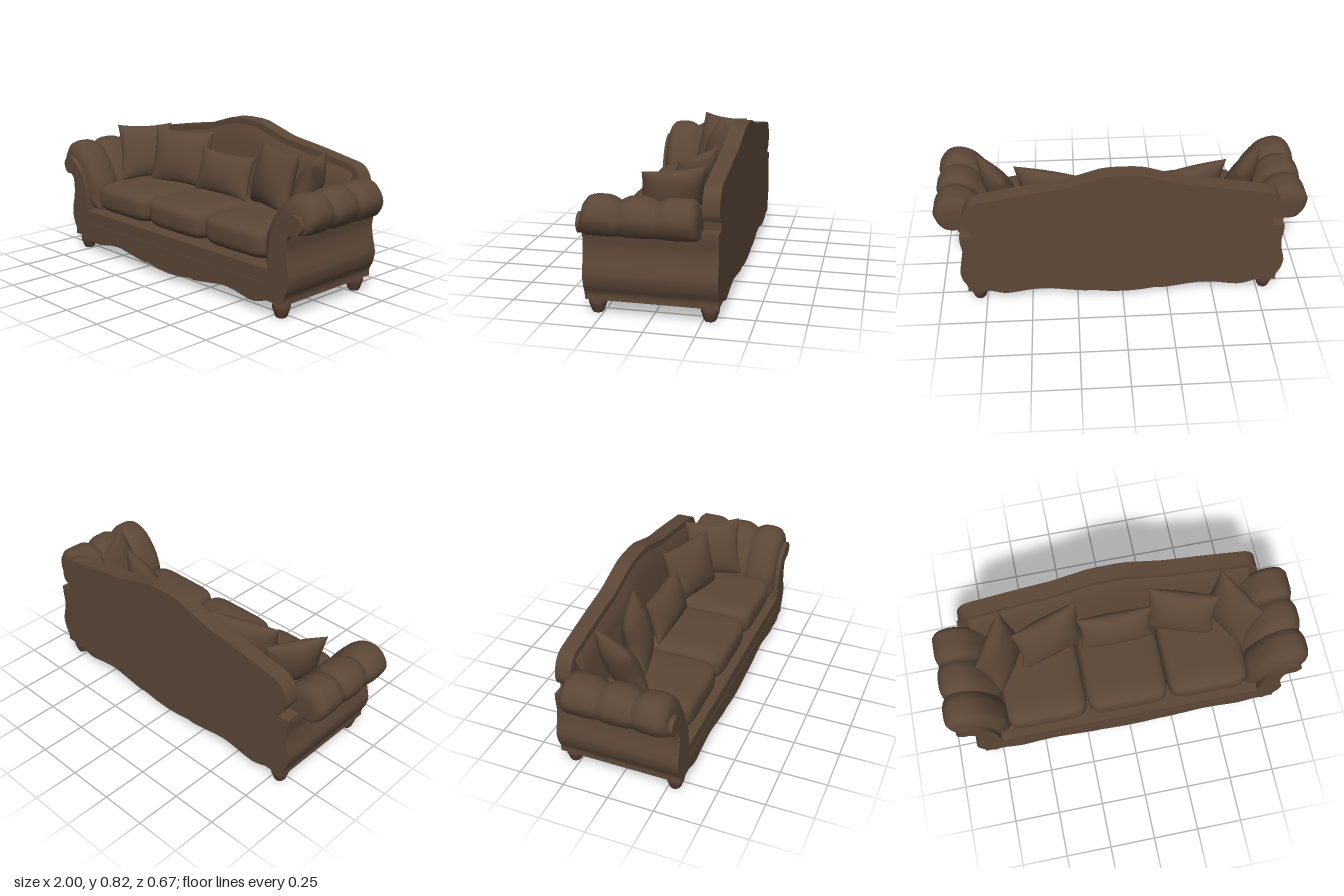
import * as THREE from 'three';
import { mergeVertices, mergeGeometries, toCreasedNormals } from 'three/addons/utils/BufferGeometryUtils.js';

const vec = (p) => p.map(([x, y]) => new THREE.Vector2(x, y));
const smooth = (p, n) => new THREE.SplineCurve(vec(p)).getPoints(n);

// Closed shape from a right-hand half outline, mirrored in x
function mirroredShape(half) {
  const left = half.map((p) => new THREE.Vector2(-p.x, p.y)).reverse();
  return new THREE.Shape([...half, ...left]);
}

function extrude(shape, z0, z1) {
  const g = new THREE.ExtrudeGeometry(shape, { depth: z1 - z0, bevelEnabled: false });
  g.translate(0, 0, z0);
  return toCreasedNormals(g, 0.6);
}

function weld(g) {
  g.deleteAttribute('uv');
  g.deleteAttribute('normal');
  const m = mergeVertices(g, 1e-5);
  m.computeVertexNormals();
  return m;
}

// Boxy, softly domed seat cushion
function cushionGeometry(a, b, c) {
  const g = new THREE.SphereGeometry(1, 48, 28);
  const p = g.attributes.position;
  const pow = (v, e) => Math.sign(v) * Math.pow(Math.abs(v), e);
  for (let i = 0; i < p.count; i++) {
    const x = p.getX(i), y = p.getY(i), z = p.getZ(i);
    const r = Math.hypot(x, z) || 1e-9;
    const k = Math.pow(r, 0.4);
    p.setXYZ(i, a * k * pow(x / r, 0.3), b * pow(y, 0.6), c * k * pow(z / r, 0.3));
  }
  return weld(g);
}

// Throw pillow with pointed corners: two bulged sheets
function pillowGeometry(w, h, t) {
  const sheets = [1, -1].map((side) => {
    const g = new THREE.PlaneGeometry(2, 2, 18, 18);
    if (side < 0) g.rotateY(Math.PI);
    const p = g.attributes.position;
    for (let i = 0; i < p.count; i++) {
      const u = Math.sin(p.getX(i) * Math.PI / 2), v = Math.sin(p.getY(i) * Math.PI / 2);
      const bulge = Math.sqrt(Math.max(0, (1 - u * u) * (1 - v * v)));
      p.setXYZ(i, u * w * (1 - 0.09 * (1 - v * v)), v * h * (1 - 0.09 * (1 - u * u)), side * t * bulge);
    }
    return g;
  });
  return weld(mergeGeometries(sheets));
}

// Rolled arm padding: a section swept along z, pinched into three bulges
function armPadGeometry() {
  const section = smooth([[0.78, 0.24], [0.8, 0.36], [0.84, 0.44], [0.9, 0.438], [0.965, 0.455], [1, 0.535],
    [0.96, 0.61], [0.89, 0.632], [0.81, 0.605], [0.745, 0.535], [0.7, 0.46], [0.67, 0.38], [0.67, 0.24]], 48);
  const rings = [[-0.25, 0], [-0.25, 0.6], [-0.248, 0.75], [-0.235, 0.91]];
  for (let i = 0; i <= 30; i++) {
    const z = -0.215 + i * 0.0165;
    const d = Math.min(Math.abs(z - 0.13), Math.abs(z + 0.055));
    const end = Math.max(0, z - 0.23) / 0.05;
    rings.push([z, 1 - 0.16 * Math.max(0, 1 - d / 0.07) ** 2 - 0.06 * end * end]);
  }
  rings.push([0.3, 0.8], [0.31, 0.65], [0.31, 0]);
  const n = section.length, pos = [], idx = [];
  for (const [z, f] of rings)
    for (const s of section) pos.push(0.88 + (s.x - 0.88) * f, 0.45 + (s.y - 0.45) * f, z);
  for (let r = 0; r < rings.length - 1; r++)
    for (let j = 0; j < n; j++) {
      const a = r * n + j, b = r * n + (j + 1) % n;
      idx.push(a, b, a + n, b, b + n, a + n);
    }
  const g = new THREE.BufferGeometry();
  g.setAttribute('position', new THREE.Float32BufferAttribute(pos, 3));
  g.setIndex(idx);
  return toCreasedNormals(g, 1.0);
}

// Mirror a geometry in x, keeping its faces outward
function mirrorX(g) {
  const m = g.index ? g.toNonIndexed() : g.clone();
  m.scale(-1, 1, 1);
  for (const a of Object.values(m.attributes))
    for (let i = 0; i < a.count; i += 3)
      for (let k = 0; k < a.itemSize; k++) {
        const t = a.getComponent(i + 1, k);
        a.setComponent(i + 1, k, a.getComponent(i + 2, k));
        a.setComponent(i + 2, k, t);
      }
  m.computeVertexNormals();
  return toCreasedNormals(m, 1.0);
}

export function createModel() {
  const group = new THREE.Group();
  const fabric = new THREE.MeshStandardMaterial({ color: 0x5c4737 });
  fabric.name = 'brown upholstery';
  const wood = new THREE.MeshStandardMaterial({ color: 0x5b4034 });
  wood.name = 'dark wood';
  const add = (name, geometry, material = fabric) => {
    const m = new THREE.Mesh(geometry, material);
    m.name = name;
    group.add(m);
    return m;
  };

  // Scalloped skirt and curved sides shared by the body and front panel
  const skirt = smooth([[0, 0.035], [0.09, 0.04], [0.17, 0.052], [0.21, 0.05], [0.3, 0.062], [0.42, 0.08],
    [0.5, 0.076], [0.58, 0.062], [0.64, 0.055], [0.69, 0.065], [0.73, 0.08]], 40);
  const side = [[0.847, 0.08], [0.847, 0.115], [0.868, 0.16], [0.878, 0.21], [0.873, 0.25], [0.86, 0.3], [0.853, 0.36], [0.86, 0.42]];
  const body = [...skirt, ...smooth([...side, [0.86, 0.46]], 32), ...vec([[0.77, 0.46], [0.735, 0.24], [0, 0.24]])];
  add('body', extrude(mirroredShape(body), -0.335, 0.305));

  // Front panel with scrolled arm ends
  const scroll = smooth([...side, [0.885, 0.442], [0.925, 0.447], [0.95, 0.49], [0.93, 0.532], [0.885, 0.54],
    [0.825, 0.505], [0.775, 0.44], [0.745, 0.35], [0.735, 0.24]], 70);
  add('frontPanel', extrude(mirroredShape([...skirt, ...scroll, ...vec([[0, 0.24]])]), 0.3, 0.333));
  for (const y of [0.165, 0.24]) {
    const rail = add('frontTrim', new THREE.BoxGeometry(1.46, 0.008, 0.008));
    rail.position.set(0, y, 0.332);
  }

  // Camel-shaped back frame
  const top = [[0.84, 0.55], [0.825, 0.62], [0.78, 0.668], [0.68, 0.69], [0.55, 0.714], [0.42, 0.735],
    [0.31, 0.752], [0.2, 0.785], [0.1, 0.814], [0, 0.82]];
  const back = [...vec([[0, 0.2], [0.78, 0.2], [0.8, 0.5]]), ...smooth([[0.825, 0.508], ...top], 60)];
  add('backFrame', extrude(mirroredShape(back), -0.335, -0.25));

  // Sloping padded back inside the frame
  const backTop = new THREE.SplineCurve(vec([[0.82, 0.62], ...top.slice(2)]));
  const heights = backTop.getPoints(100);
  const padTop = (x) => heights.reduce((a, b) => Math.abs(b.x - x) < Math.abs(a.x - x) ? b : a).y - 0.035;
  const pad = new THREE.PlaneGeometry(1.56, 1, 60, 12);
  const pp = pad.attributes.position;
  for (let i = 0; i < pp.count; i++) {
    const v = pp.getY(i) + 0.5, x = pp.getX(i);
    const y = 0.22 + v * (padTop(Math.abs(x)) - 0.22);
    pp.setXYZ(i, x, y, -0.25 + 0.09 * Math.pow(1 - v, 0.6));
  }
  add('backPadding', weld(pad));

  // Rolled arms
  const arm = armPadGeometry();
  add('leftArmPadding', arm);
  add('rightArmPadding', mirrorX(arm));

  // Seat cushions
  const seat = cushionGeometry(0.227, 0.092, 0.255);
  for (const x of [-0.456, 0, 0.456]) add('seatCushion', seat).position.set(x, 0.332, 0.055);

  // Throw pillows
  const place = (name, g, x, y, z, yaw, lean) => {
    const m = add(name, g);
    m.position.set(x, y, z);
    m.rotation.set(-lean, yaw, 0, 'YXZ');
  };
  place('middlePillow', pillowGeometry(0.21, 0.125, 0.065), 0, 0.522, -0.09, 0, 0.3);
  const large = pillowGeometry(0.195, 0.168, 0.075), outer = pillowGeometry(0.165, 0.17, 0.07);
  for (const s of [-1, 1]) {
    place('largePillow', large, s * 0.37, 0.56, -0.1, -s * 0.32, 0.25);
    place('outerPillow', outer, s * 0.645, 0.56, -0.06, -s * 1.05, 0.33);
  }

  // Turned feet
  const foot = new THREE.LatheGeometry(vec([[0, 0], [0.027, 0], [0.032, 0.008], [0.038, 0.028], [0.045, 0.045],
    [0.047, 0.06], [0.043, 0.068], [0.043, 0.085], [0, 0.085]]), 24);
  for (const x of [-0.79, 0.79])
    for (const z of [-0.283, 0.283]) add('foot', foot, wood).position.set(x, 0, z);

  return group;
}
